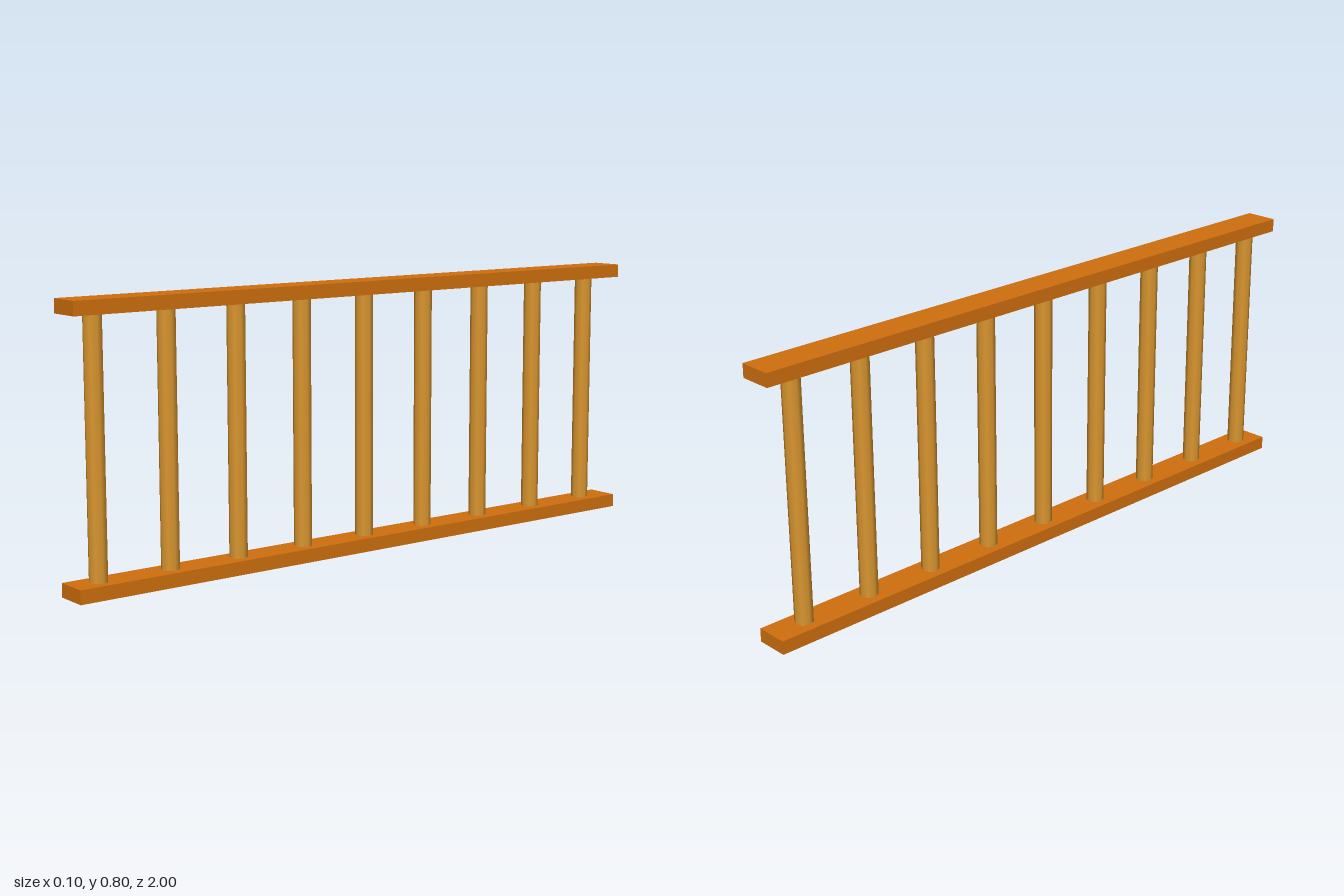
import * as THREE from 'three';

export function createModel() {
  const group = new THREE.Group();
  const railWood = new THREE.MeshStandardMaterial({ name: 'rail wood', color: 0xd0700e });
  const balusterWood = new THREE.MeshStandardMaterial({ name: 'baluster wood', color: 0xdb9730 });

  const height = 0.8, railHeight = 0.04, railWidth = 0.1;

  // Bottom and top rails
  const railGeometry = new THREE.BoxGeometry(railWidth, railHeight, 2);
  for (const [name, y] of [['bottomRail', railHeight / 2], ['topRail', height - railHeight / 2]]) {
    const rail = new THREE.Mesh(railGeometry, railWood);
    rail.name = name;
    rail.position.y = y;
    group.add(rail);
  }

  // Row of evenly spaced round balusters, smooth shaded, set between the rails
  const count = 9, firstZ = 0.917, spacing = 0.226;
  const balusterGeometry = new THREE.CylinderGeometry(0.0265, 0.0265, height - 2 * railHeight, 8);
  for (let i = 0; i < count; i++) {
    const baluster = new THREE.Mesh(balusterGeometry, balusterWood);
    baluster.name = `baluster${i + 1}`;
    baluster.position.set(0, height / 2, firstZ - i * spacing);
    group.add(baluster);
  }

  return group;
}
